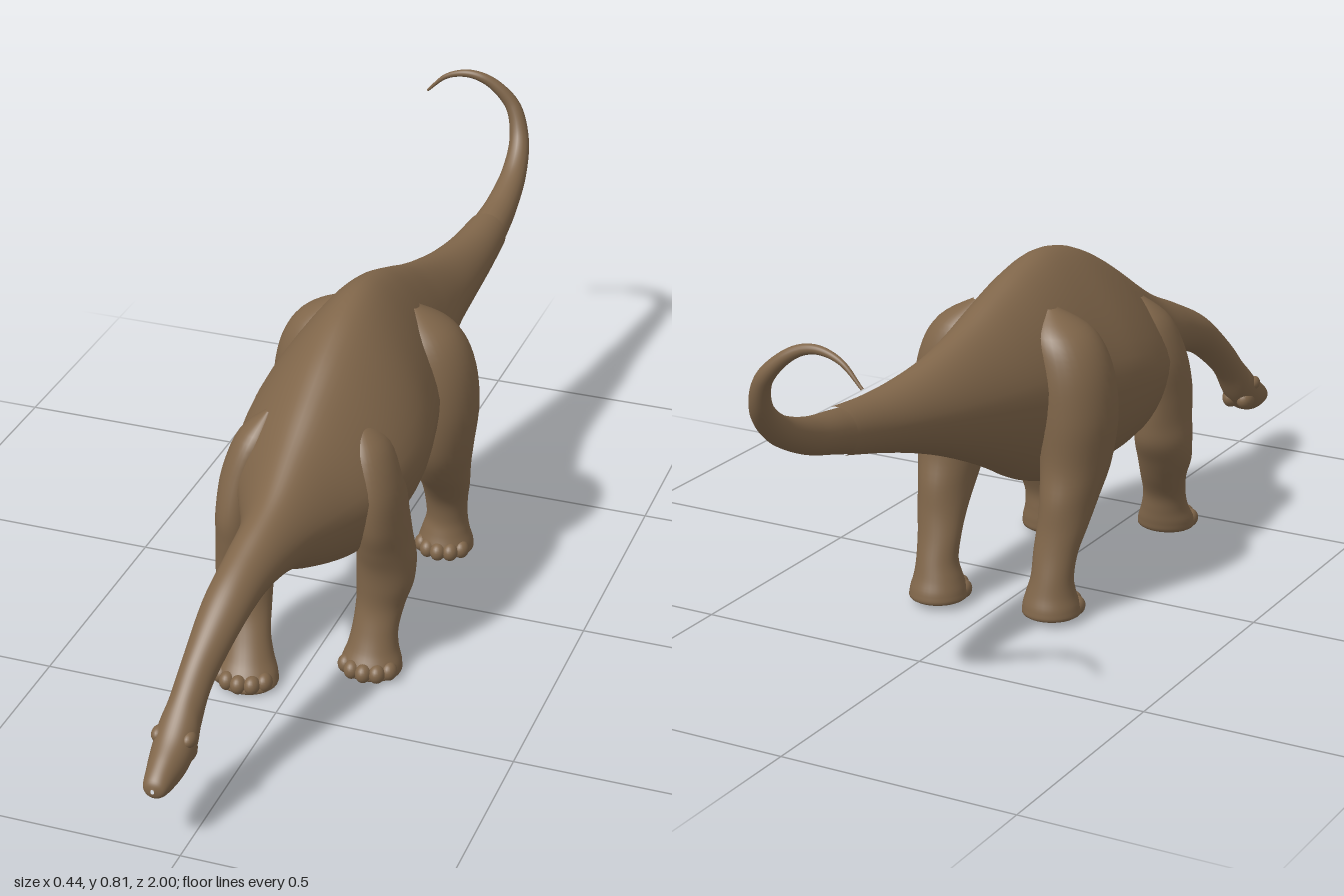
import * as THREE from 'three';

const hide = new THREE.MeshStandardMaterial({ color: 0x80664a });
hide.name = 'brown hide';

// Smoothly interpolates a table of stations, channel by channel
function smoothRows(rows, steps) {
  const out = [], last = rows.length - 1;
  const row = (i) => rows[Math.min(last, Math.max(0, i))];
  for (let i = 0; i < last; i++) {
    for (let s = 0; s < steps; s++) {
      const t = s / steps;
      out.push(row(i).map((b, k) => {
        const a = row(i - 1)[k], c = row(i + 1)[k], d = row(i + 2)[k];
        return b + 0.5 * t * (c - a + t * (2 * a - 5 * b + 4 * c - d + t * (3 * (b - c) + d - a)));
      }));
    }
  }
  out.push(rows[last]);
  return out;
}

// Skins closed rings; place(row, angle) returns a point on the ring
function loft(name, rows, steps, sides, place) {
  const rings = smoothRows(rows, steps), pos = [], index = [];
  rings.forEach((r, i) => {
    for (let j = 0; j < sides; j++) {
      pos.push(...place(r, (j / sides) * Math.PI * 2));
      if (i === rings.length - 1) continue;
      const a = i * sides + j, b = i * sides + ((j + 1) % sides);
      index.push(a, b, a + sides, b, b + sides, a + sides);
    }
  });
  const geo = new THREE.BufferGeometry();
  geo.setAttribute('position', new THREE.Float32BufferAttribute(pos, 3));
  geo.setIndex(index);
  geo.computeVertexNormals();
  const mesh = new THREE.Mesh(geo, hide);
  mesh.name = name;
  return mesh;
}

function blob(name, x, y, z, rx, ry, rz) {
  const mesh = new THREE.Mesh(new THREE.SphereGeometry(1, 20, 14), hide);
  mesh.name = name;
  mesh.position.set(x, y, z);
  mesh.scale.set(rx, ry, rz);
  return mesh;
}

// Head, neck, trunk and tail base: z, centre x, top y, bottom y, half width, ridge sharpness
const BODY = [
  [1.0, -0.052, 0.142, 0.132, 0.004, 0],
  [0.992, -0.052, 0.158, 0.118, 0.022, 0],
  [0.96, -0.051, 0.182, 0.112, 0.031, 0],
  [0.92, -0.05, 0.208, 0.117, 0.039, 0],
  [0.88, -0.049, 0.243, 0.134, 0.041, 0],
  [0.85, -0.047, 0.272, 0.165, 0.036, 0],
  [0.8, -0.04, 0.325, 0.235, 0.035, 0],
  [0.7, -0.025, 0.408, 0.312, 0.046, 0.05],
  [0.6, -0.012, 0.46, 0.343, 0.053, 0.1],
  [0.5, 0, 0.505, 0.338, 0.07, 0.2],
  [0.4, 0, 0.56, 0.29, 0.112, 0.3],
  [0.3, 0, 0.62, 0.25, 0.162, 0.4],
  [0.2, 0, 0.675, 0.233, 0.187, 0.42],
  [0.1, 0, 0.715, 0.226, 0.19, 0.42],
  [0, 0, 0.73, 0.23, 0.173, 0.4],
  [-0.1, 0, 0.714, 0.26, 0.152, 0.35],
  [-0.2, 0.003, 0.68, 0.313, 0.126, 0.3],
  [-0.3, 0.008, 0.642, 0.362, 0.102, 0.25],
  [-0.4, 0.016, 0.612, 0.405, 0.082, 0.18],
  [-0.5, 0.03, 0.592, 0.44, 0.068, 0.1],
  [-0.6, 0.043, 0.585, 0.468, 0.056, 0.05],
  [-0.7, 0.052, 0.59, 0.493, 0.046, 0],
];

// Curled end of the tail
const TAIL = [
  [0.05, 0.535, -0.67], [0.053, 0.545, -0.72], [0.055, 0.563, -0.8], [0.055, 0.607, -0.9],
  [0.047, 0.665, -0.96], [0.024, 0.73, -0.985], [-0.018, 0.776, -0.984],
  [-0.055, 0.797, -0.978], [-0.092, 0.801, -0.976], [-0.138, 0.786, -0.978], [-0.183, 0.744, -0.982],
];

// Legs from the sole up: y, x, z, half width, half depth
const FRONT_LEG = [
  [0.004, 0.128, 0.285, 0.004, 0.004],
  [0.006, 0.128, 0.285, 0.058, 0.052],
  [0.028, 0.128, 0.283, 0.063, 0.057],
  [0.06, 0.128, 0.274, 0.053, 0.048],
  [0.1, 0.13, 0.265, 0.048, 0.041],
  [0.15, 0.135, 0.248, 0.051, 0.046],
  [0.2, 0.142, 0.24, 0.059, 0.058],
  [0.25, 0.143, 0.235, 0.06, 0.072],
  [0.3, 0.142, 0.245, 0.054, 0.08],
  [0.36, 0.141, 0.258, 0.05, 0.085],
  [0.44, 0.132, 0.262, 0.05, 0.08],
  [0.52, 0.11, 0.255, 0.042, 0.06],
  [0.57, 0.09, 0.25, 0.006, 0.01],
];
const HIND_LEG = [
  [0.014, 0.125, -0.212, 0.004, 0.004],
  [0.016, 0.125, -0.212, 0.056, 0.056],
  [0.035, 0.125, -0.212, 0.06, 0.06],
  [0.065, 0.125, -0.212, 0.052, 0.05],
  [0.1, 0.128, -0.21, 0.045, 0.042],
  [0.15, 0.13, -0.197, 0.047, 0.041],
  [0.2, 0.135, -0.175, 0.052, 0.053],
  [0.26, 0.138, -0.145, 0.058, 0.076],
  [0.33, 0.14, -0.118, 0.07, 0.088],
  [0.43, 0.142, -0.11, 0.08, 0.095],
  [0.53, 0.13, -0.11, 0.079, 0.09],
  [0.6, 0.105, -0.11, 0.064, 0.07],
  [0.645, 0.08, -0.11, 0.012, 0.015],
];

// One leg with toes; the stride shifts the foot more than the hip
function leg(name, rows, side, stride, inward, shift) {
  const group = new THREE.Group();
  group.name = name;
  const posed = rows.map(([y, x, z, rx, rz]) => {
    const low = Math.max(0, 1 - y / 0.45);
    return [y, side * (x - inward * low * low), z + shift + stride * low, rx, rz];
  });
  group.add(loft(name + 'Limb', posed, 5, 32, ([y, x, z, rx, rz], t) =>
    [x + rx * Math.sin(t), y, z + rz * Math.cos(t)]));
  const [y, x, z, rx, rz] = posed[2];
  for (let i = -2; i <= 2; i++) {
    const t = i * 0.52;
    group.add(blob('toe', x + rx * 0.86 * Math.sin(t), y - 0.004, z + rz * 0.92 * Math.cos(t), 0.017, 0.02, 0.02));
  }
  return group;
}

function tailTip() {
  const curve = new THREE.CatmullRomCurve3(TAIL.map((p) => new THREE.Vector3(...p)));
  const segments = 80, sides = 20;
  const geo = new THREE.TubeGeometry(curve, segments, 1, sides);
  const pos = geo.attributes.position, v = new THREE.Vector3();
  for (let i = 0; i <= segments; i++) {
    const u = i / segments, c = curve.getPointAt(u);
    const r = 0.003 + 0.043 * Math.pow(1 - u, 1.15);
    for (let j = 0; j <= sides; j++) {
      const k = i * (sides + 1) + j;
      v.fromBufferAttribute(pos, k).sub(c).multiplyScalar(r).add(c);
      pos.setXYZ(k, v.x, v.y, v.z);
    }
  }
  const mesh = new THREE.Mesh(geo, hide);
  mesh.name = 'tailTip';
  return mesh;
}

export function createModel() {
  const model = new THREE.Group();
  model.name = 'longNeckedDinosaur';

  model.add(loft('body', BODY, 6, 48, ([z, cx, top, bottom, w, ridge], t) => {
    const c = Math.cos(t);
    return [
      cx + w * Math.sin(t) * (1 - ridge * Math.max(0, c) ** 1.2),
      (top + bottom) / 2 + ((top - bottom) / 2) * c,
      z,
    ];
  }));
  model.add(tailTip());

  // Brows and end of the jaw
  for (const s of [-1, 1]) {
    model.add(blob('brow', -0.05 + s * 0.031, 0.195, 0.895, 0.014, 0.016, 0.02));
    model.add(blob('cheek', -0.05 + s * 0.018, 0.158, 0.88, 0.02, 0.024, 0.028));
  }

  model.add(leg('leftFrontLeg', FRONT_LEG, 1, 0, 0, 0));
  model.add(leg('rightFrontLeg', FRONT_LEG, -1, 0.1, 0.035, 0.03));
  model.add(leg('leftHindLeg', HIND_LEG, 1, 0, 0, 0));
  model.add(leg('rightHindLeg', HIND_LEG, -1, 0.025, 0, 0.01));
  return model;
}
